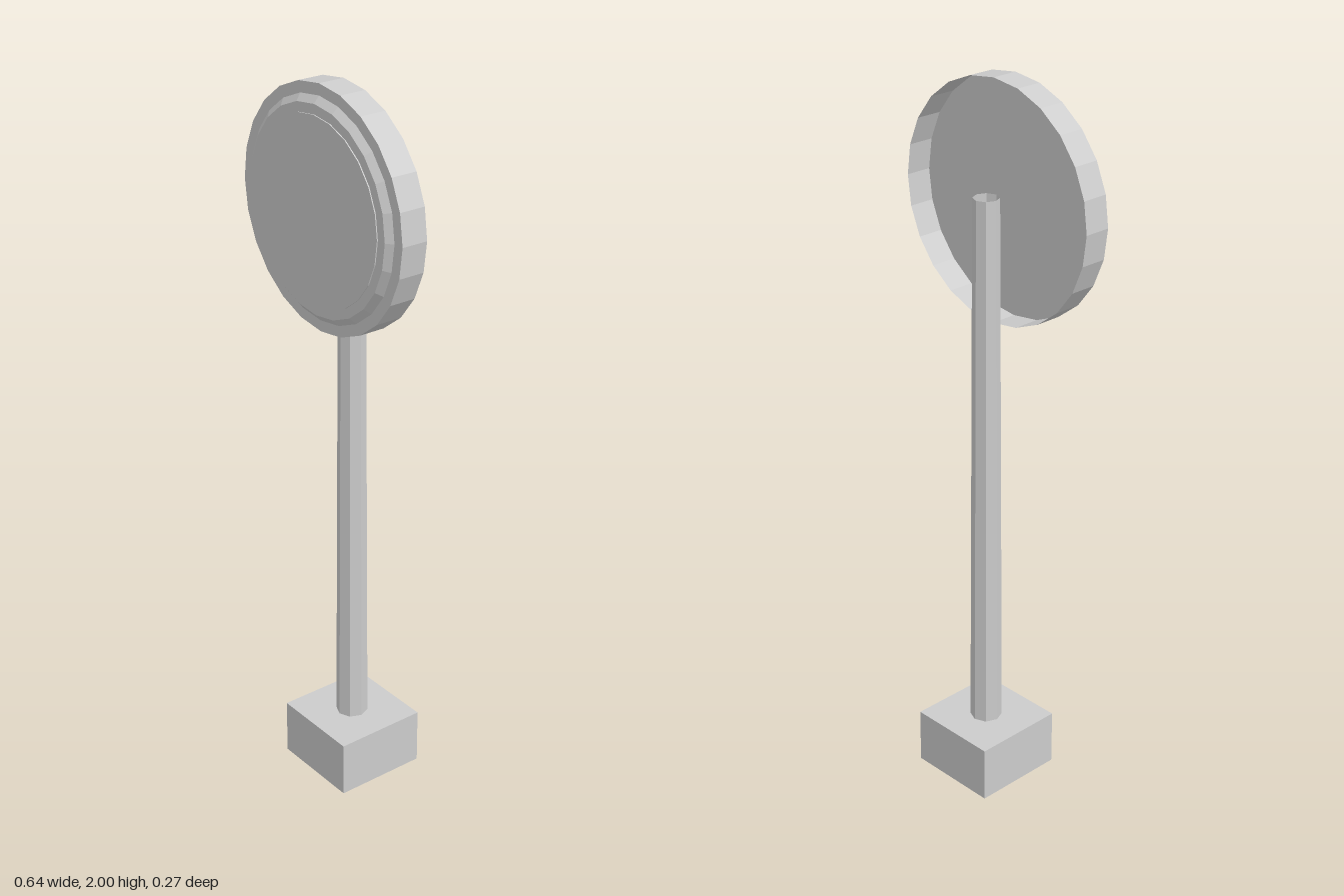
import * as THREE from 'three';

export function createModel() {
  const model = new THREE.Group();
  const grey = new THREE.MeshStandardMaterial({ color: 0xcccccc, flatShading: true, side: THREE.DoubleSide });
  grey.name = 'plain grey';

  const add = (name, geometry, x, y, z, parent = model) => {
    const mesh = new THREE.Mesh(geometry, grey);
    mesh.name = name;
    mesh.position.set(x, y, z);
    parent.add(mesh);
  };

  // Square footing
  add('base', new THREE.BoxGeometry(0.266, 0.16, 0.266), 0, 0.08, 0);

  // Tapered eight-sided tube, open at the top
  add('pole', new THREE.CylinderGeometry(0.035, 0.0445, 1.54, 8, 1, true), 0, 0.93, 0);

  // Round head, stacked from back to front along z
  const head = new THREE.Group();
  head.name = 'head';
  head.position.y = 1.678;
  model.add(head);
  const ring = (name, frontRadius, backRadius, back, front) => {
    const geometry = new THREE.CylinderGeometry(frontRadius, backRadius, front - back, 24, 1, true);
    geometry.rotateX(Math.PI / 2);
    add(name, geometry, 0, 0, (back + front) / 2, head);
  };
  const plate = (name, radius, z) => {
    // turned so its corners meet those of the rings
    add(name, new THREE.CircleGeometry(radius, 24), 0, 0, z, head);
  };

  // Hood wall, hollow behind the panel
  ring('housingWall', 0.322, 0.322, 0.025, 0.1);
  plate('housingPanel', 0.322, 0.1);

  // Bevelled lens with a shallow raised face
  ring('bevelledRim', 0.274, 0.292, 0.1, 0.115);
  plate('rimFace', 0.274, 0.115);
  ring('facePlateEdge', 0.248, 0.248, 0.115, 0.118);
  plate('facePlate', 0.248, 0.118);

  return model;
}
